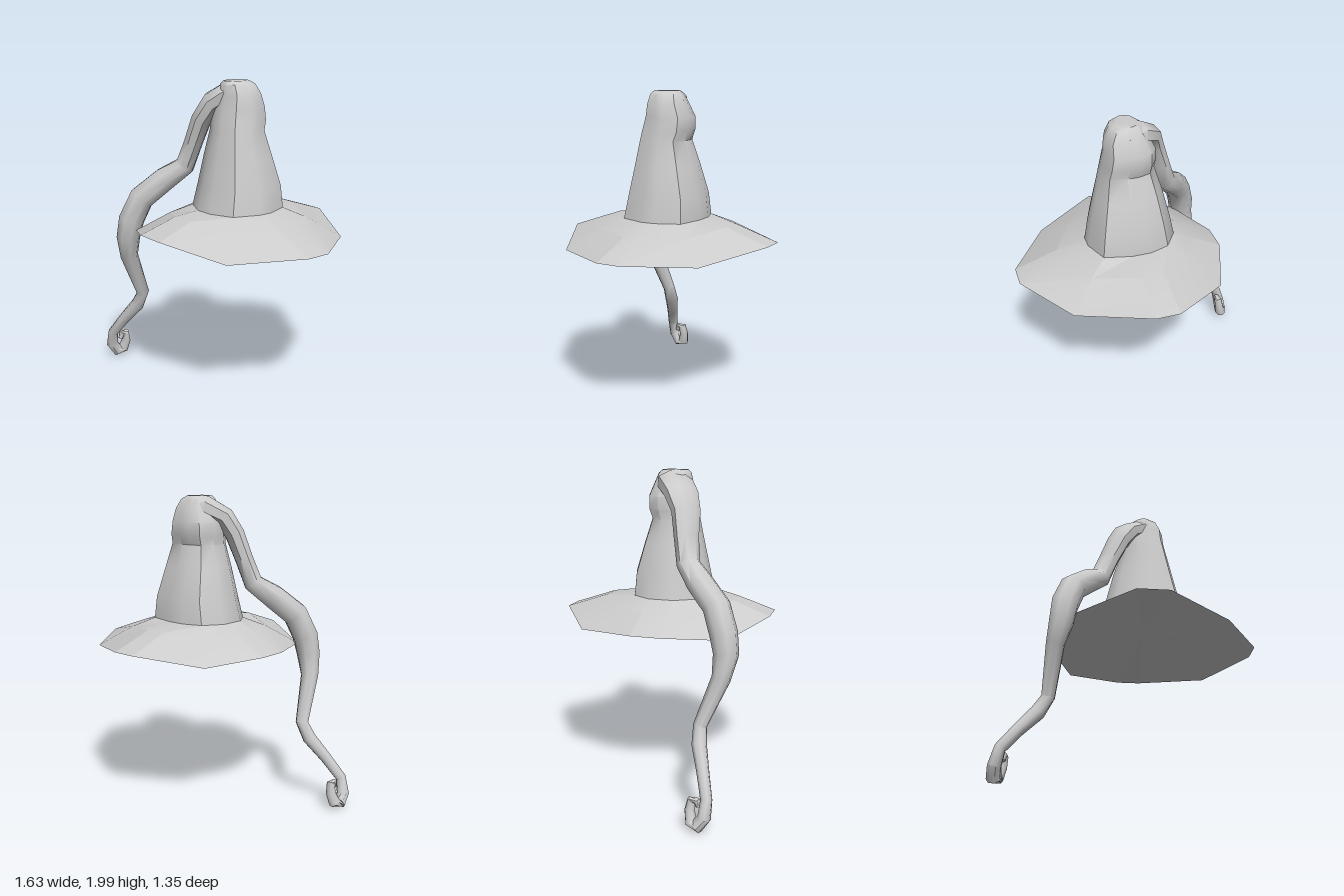
import * as THREE from 'three';
import { toCreasedNormals } from 'three/addons/utils/BufferGeometryUtils.js';

const material = new THREE.MeshStandardMaterial({ color: 0xcccccc });
const V = (x, y, z) => new THREE.Vector3(x, y, z);

// Skins a series of rings; a ring whose points coincide closes the end.
function loft(rings, name, crease) {
  const pos = [];
  const tri = (a, b, c) => {
    if (a.distanceTo(b) < 1e-5 || b.distanceTo(c) < 1e-5 || a.distanceTo(c) < 1e-5) return;
    for (const p of [a, b, c]) pos.push(p.x, p.y, p.z);
  };
  for (let i = 0; i < rings.length - 1; i++) {
    const n = rings[i].length;
    for (let j = 0; j < n; j++) {
      const k = (j + 1) % n;
      const a = rings[i][j], b = rings[i][k], c = rings[i + 1][j], d = rings[i + 1][k];
      tri(a, c, b);
      tri(b, c, d);
    }
  }
  const geo = new THREE.BufferGeometry();
  geo.setAttribute('position', new THREE.Float32BufferAttribute(pos, 3));
  const mesh = new THREE.Mesh(toCreasedNormals(geo, crease), material);
  mesh.name = name;
  return mesh;
}

const collapse = (p, n) => Array.from({ length: n }, () => p.clone());

// Brim edge and crown foot share the same twelve directions.
const brimEdge = [
  [-0.02, 1.10, -0.68], [0.13, 1.10, -0.68], [0.56, 1.04, -0.44], [0.81, 1.06, -0.07],
  [0.81, 1.06, 0.08], [0.56, 1.04, 0.48], [0.18, 1.12, 0.67], [-0.02, 1.12, 0.67],
  [-0.37, 1.04, 0.48], [-0.51, 1.06, 0.11], [-0.51, 1.06, -0.07], [-0.37, 1.04, -0.44],
].map(p => V(...p));
const footOutline = [
  [0.01, -0.22], [0.13, -0.22], [0.30, -0.18], [0.36, -0.03], [0.36, 0.06], [0.30, 0.22],
  [0.15, 0.28], [0.03, 0.28], [-0.12, 0.21], [-0.19, 0.10], [-0.19, -0.06], [-0.11, -0.18],
];

// The foot outline refitted to given bounds at a height.
const crownRing = ([y, x0, x1, z0, z1]) => footOutline.map(([x, z]) =>
  V(x0 + (x + 0.19) / 0.55 * (x1 - x0), y, z0 + (z + 0.22) / 0.5 * (z1 - z0)));

// Height, then x and z bounds.
const crownLevels = [
  [1.22, -0.19, 0.36, -0.22, 0.28],
  [1.36, -0.16, 0.34, -0.21, 0.25],
  [1.55, -0.115, 0.295, -0.155, 0.21],
  [1.70, -0.07, 0.26, -0.11, 0.18],
  [1.76, -0.075, 0.25, -0.13, 0.17],
  [1.84, -0.07, 0.235, -0.13, 0.15],
  [1.92, -0.03, 0.225, -0.10, 0.135],
  [1.98, 0.0, 0.19, -0.075, 0.125],
  [2.0, 0.03, 0.15, -0.05, 0.11],
];

// Tip path: centre x, y, z, then thickness and width radii, ending in a curl.
const tipPath = [
  [0.13, 1.9, 0.0, 0.09, 0.11], [0.04, 1.92, 0.04, 0.08, 0.12],
  [-0.045, 1.862, 0.105, 0.07, 0.115], [-0.095, 1.76, 0.15, 0.065, 0.095],
  [-0.155, 1.61, 0.17, 0.06, 0.08], [-0.21, 1.455, 0.2, 0.065, 0.075],
  [-0.3, 1.365, 0.295, 0.08, 0.085], [-0.385, 1.245, 0.42, 0.085, 0.085],
  [-0.43, 1.1, 0.475, 0.085, 0.085], [-0.445, 0.98, 0.495, 0.077, 0.077],
  [-0.475, 0.84, 0.475, 0.058, 0.058], [-0.505, 0.55, 0.36, 0.042, 0.042],
  [-0.56, 0.45, 0.37, 0.046, 0.046], [-0.66, 0.325, 0.42, 0.038, 0.038],
  [-0.75, 0.2, 0.465, 0.035, 0.035], [-0.775, 0.1, 0.46, 0.04, 0.04],
  [-0.775, 0.045, 0.42, 0.044, 0.044], [-0.762, 0.055, 0.38, 0.038, 0.038],
  [-0.742, 0.12, 0.365, 0.031, 0.031], [-0.735, 0.18, 0.376, 0.028, 0.028],
  [-0.735, 0.18, 0.405, 0.022, 0.022], [-0.735, 0.145, 0.415, 0.015, 0.015],
];

// Oval rings set square to the path, carried along without twisting.
function sweepRings(path, sides) {
  const pts = path.map(p => V(p[0], p[1], p[2]));
  const normal = V(0, 1, 0.1);
  const rings = pts.map((p, i) => {
    const before = pts[Math.max(i - 1, 0)], after = pts[Math.min(i + 1, pts.length - 1)];
    const t = after.clone().sub(before).normalize();
    normal.addScaledVector(t, -normal.dot(t)).normalize();
    const side = normal.clone().cross(t);
    return Array.from({ length: sides }, (_, j) => {
      const a = (j + 0.5) / sides * Math.PI * 2;
      return p.clone().addScaledVector(normal, Math.cos(a) * path[i][3])
        .addScaledVector(side, Math.sin(a) * path[i][4]);
    });
  });
  return [collapse(pts[0], sides), ...rings, collapse(pts[pts.length - 1], sides)];
}

export function createModel() {
  const group = new THREE.Group();
  group.name = 'pointedHat';

  // Brim: hollowed underside, sharp rim, slightly domed top
  const foot = crownRing(crownLevels[0]);
  const middle = brimEdge.map((p, i) => {
    const m = p.clone().lerp(foot[i], 0.6);
    m.y += 0.022 * Math.abs(p.z) / 0.68;
    return m;
  });
  group.add(loft([collapse(V(0.09, 1.18, -0.04), 12), brimEdge, middle, foot], 'brim', 0.2));

  // Crown
  const crown = crownLevels.map(crownRing);
  group.add(loft([...crown, collapse(V(0.09, 2.0, 0.02), 12)], 'crown', 0.6));

  // Drooping tip flowing out of the crown top, with a curled end
  group.add(loft(sweepRings(tipPath, 8), 'droopingTip', 0.9));

  return group;
}
